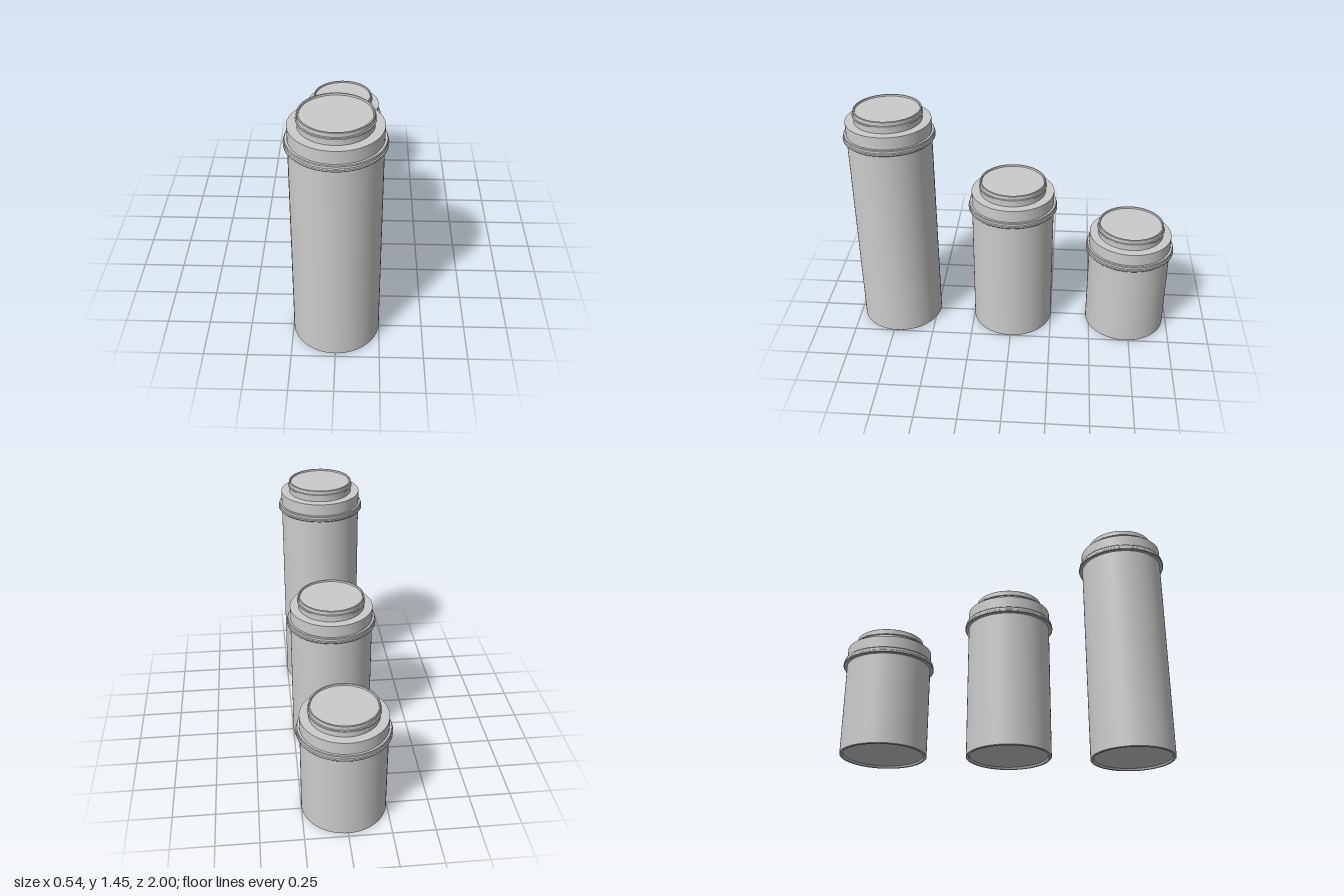
import * as THREE from 'three';
import { toCreasedNormals } from 'three/addons/utils/BufferGeometryUtils.js';

const material = new THREE.MeshStandardMaterial({ color: 0xcccccc });

// Turned part from [radius, y] pairs, with sharp profile edges and smooth sides
function turned(name, profile) {
  const points = profile.map(([r, y]) => new THREE.Vector2(r, y));
  const geometry = toCreasedNormals(new THREE.LatheGeometry(points, 72), 0.5);
  const mesh = new THREE.Mesh(geometry, material);
  mesh.name = name;
  return mesh;
}

function canister(name, height) {
  const group = new THREE.Group();
  group.name = name;
  const seam = height - 0.18; // where the lid meets the body

  // Straight body with a shallow recessed base
  group.add(turned('body', [
    [0, 0.012], [0.23, 0.012], [0.235, 0], [0.247, 0], [0.25, 0.003], [0.25, seam + 0.01],
  ]));

  // Lid: stepped collar ring, shoulder, beaded neck and recessed top
  const lid = turned('lid', [
    [0.25, 0], [0.268, 0], [0.271, 0.004], [0.271, 0.013], [0.266, 0.017],
    [0.266, 0.031], [0.263, 0.035], [0.251, 0.035], [0.251, 0.11],
    [0.199, 0.11], [0.199, 0.144], [0.205, 0.146], [0.206, 0.15], [0.205, 0.154],
    [0.199, 0.156], [0.199, 0.178], [0.197, 0.18], [0.19, 0.18],
    [0.188, 0.17], [0, 0.17],
  ]);
  lid.position.y = seam;
  group.add(lid);
  return group;
}

export function createModel() {
  const model = new THREE.Group();
  model.name = 'canisterSet';
  // Tallest at the front, shortest at the back
  [['tallCanister', 1.45], ['mediumCanister', 1.0], ['shortCanister', 0.725]].forEach(([name, height], i) => {
    const c = canister(name, height);
    c.position.z = 0.729 * (1 - i);
    model.add(c);
  });
  return model;
}
